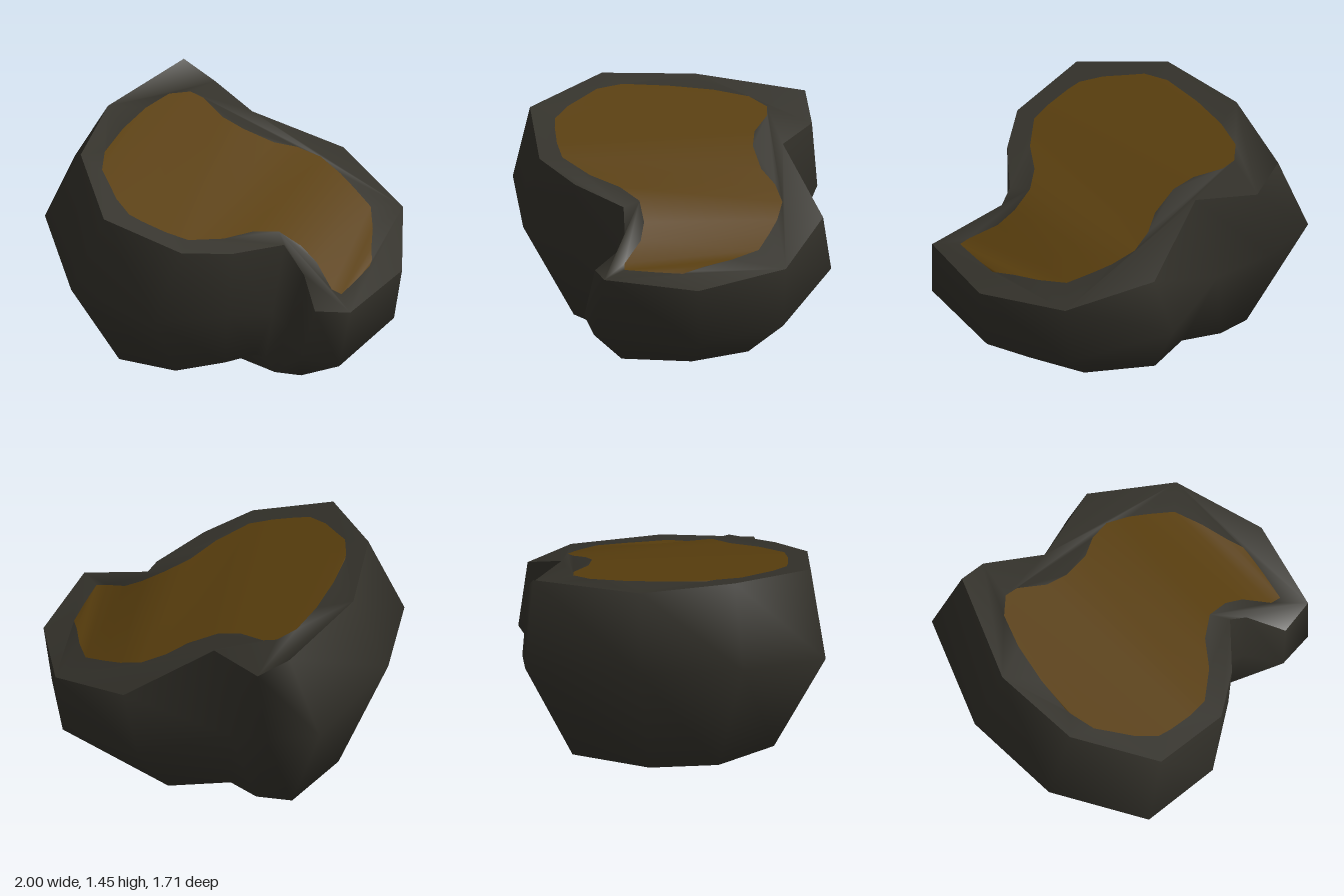
import * as THREE from 'three';

const rock = new THREE.MeshStandardMaterial({ color: 0x34322b });
rock.name = 'dark rock';
const soil = new THREE.MeshStandardMaterial({ color: 0x5a3f0e });
soil.name = 'brown soil';

// Clockwise from the right end, seen from above
const rim = [
  [-0.80, 1.41, -0.22], [-0.53, 1.38, -0.80], [-0.35, 1.255, -0.81], [-0.07, 1.255, -0.60],
  [0.42, 1.00, -0.75], [0.85, 0.88, -0.47], [1.00, 0.84, 0.05], [0.85, 0.88, 0.56],
  [0.65, 0.86, 0.58], [0.53, 0.95, 0.39], [0.41, 1.13, 0.38], [0.18, 1.19, 0.62],
  [-0.07, 1.255, 0.78], [-0.53, 1.38, 0.76], [-0.80, 1.45, 0.31],
];
const belly = [
  [-1.00, 1.00, -0.24], [-0.71, 0.92, -0.86], [-0.41, 0.85, -0.85], [-0.17, 0.74, -0.68],
  [0.33, 0.65, -0.81], [0.81, 0.52, -0.46], [0.95, 0.49, 0.04], [0.80, 0.53, 0.61],
  [0.58, 0.56, 0.63], [0.45, 0.62, 0.46], [0.36, 0.68, 0.44], [0.15, 0.75, 0.62],
  [-0.21, 0.79, 0.85], [-0.70, 0.90, 0.83], [-1.00, 1.00, 0.34],
];
const foot = belly.map(([x, , z]) => [-0.08 + (x + 0.08) * 0.68, 0.26, z * 0.67]);
const tip = [-0.09, 0, -0.02];

// Soil outline as x, back z, front z
const soilColumns = [
  [-0.69, 0.17, 0.21], [-0.66, -0.05, 0.36], [-0.60, -0.29, 0.44], [-0.52, -0.48, 0.55],
  [-0.42, -0.565, 0.635], [-0.34, -0.555, 0.65], [-0.20, -0.46, 0.66], [-0.07, -0.43, 0.65],
  [0.10, -0.45, 0.52], [0.22, -0.51, 0.37], [0.35, -0.53, 0.28], [0.48, -0.48, 0.275],
  [0.58, -0.42, 0.31], [0.70, -0.34, 0.42], [0.76, -0.18, 0.43], [0.80, -0.02, 0.26],
  [0.83, 0.07, 0.11],
];

// Heights along the back and the front of the sloping top
const backSlope = [[-0.8, 1.44], [-0.07, 1.255], [0.42, 1.05], [0.85, 0.885], [1, 0.84]];
const frontSlope = [[-0.8, 1.45], [-0.07, 1.255], [0.38, 1.13], [0.70, 0.91], [1, 0.84]];
function heightAt(slope, x) {
  let i = 1;
  while (i < slope.length - 1 && x > slope[i][0]) i++;
  const [x0, y0] = slope[i - 1], [x1, y1] = slope[i];
  return y0 + (y1 - y0) * (x - x0) / (x1 - x0);
}

function makeMesh(name, points, faces, material) {
  const geometry = new THREE.BufferGeometry();
  geometry.setAttribute('position', new THREE.Float32BufferAttribute(points.flat(), 3));
  geometry.setIndex(faces.flat());
  geometry.computeVertexNormals();
  const mesh = new THREE.Mesh(geometry, material);
  mesh.name = name;
  return mesh;
}

export function createModel() {
  const group = new THREE.Group();
  group.name = 'rockPlatform';
  const n = rim.length;

  // Walls and pointed underside
  const wallFaces = [];
  for (let i = 0; i < n; i++) {
    const j = (i + 1) % n;
    for (const r of [0, n]) {
      wallFaces.push([r + i, r + j, r + n + i], [r + j, r + n + j, r + n + i]);
    }
    wallFaces.push([2 * n + i, 2 * n + j, 3 * n]);
  }
  group.add(makeMesh('rockBody', [...rim, ...belly, ...foot, tip], wallFaces, rock));

  // Soil patch, a strip of columns across the top
  const back = soilColumns.map(([x, z]) => [x, heightAt(backSlope, x), z]);
  const front = soilColumns.map(([x, , z]) => [x, heightAt(frontSlope, x), z]);
  const m = back.length;
  const soilFaces = [];
  for (let i = 0; i < m - 1; i++) {
    soilFaces.push([i, m + i, i + 1], [i + 1, m + i, m + i + 1]);
  }
  group.add(makeMesh('soilPatch', [...back, ...front], soilFaces, soil));

  // Rock border between the rim and the soil
  const hole = [...back, ...front.slice().reverse()];
  const flat = (points) => points.map(([x, , z]) => new THREE.Vector2(x, z));
  const points = [...rim, ...hole];
  const borderFaces = THREE.ShapeUtils.triangulateShape(flat(rim), [flat(hole)]).map(([a, b, c]) => {
    const [p, q, r] = [points[a], points[b], points[c]];
    const up = (q[2] - p[2]) * (r[0] - p[0]) - (q[0] - p[0]) * (r[2] - p[2]);
    return up > 0 ? [a, b, c] : [a, c, b];
  });
  group.add(makeMesh('rockBorder', points, borderFaces, rock));

  return group;
}
